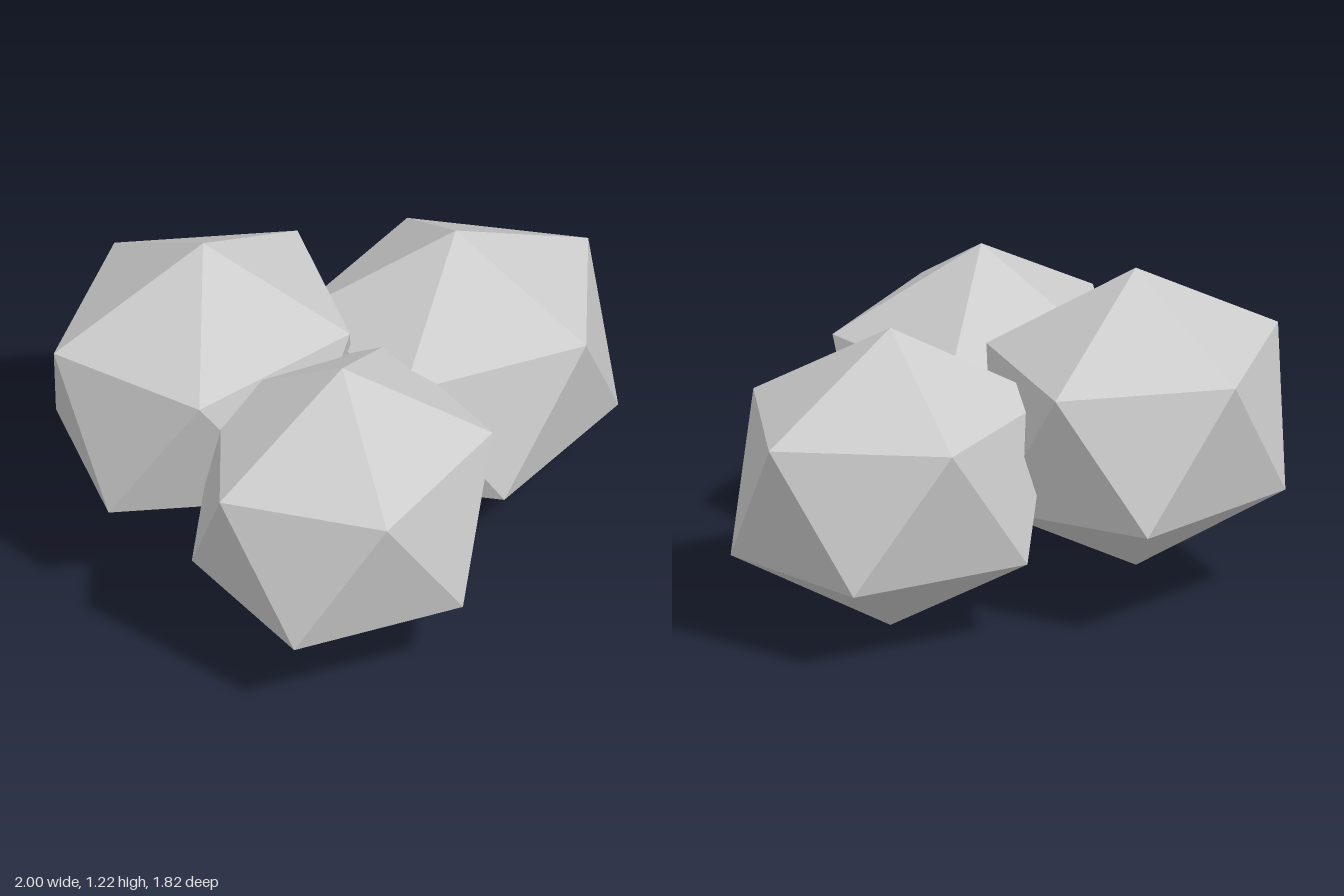
import * as THREE from 'three';

export function createModel() {
  const group = new THREE.Group();
  group.name = 'rockCluster';

  const stone = new THREE.MeshStandardMaterial({ color: 0xcccccc, flatShading: true });
  stone.name = 'stone grey';

  // Low-poly boulder: icosahedron stood on a vertex, then stretched
  const boulder = new THREE.IcosahedronGeometry(1, 0);
  boulder.rotateZ(-Math.atan(2 / (1 + Math.sqrt(5))));
  boulder.scale(0.671, 0.555, 0.582);
  boulder.computeVertexNormals();

  // Name, centre and turn about the vertical
  const rocks = [
    ['leftRock', [0.4, 0.555, 0], 0],
    ['backRock', [-0.43, 0.665, -0.385], 0.3],
    ['frontRock', [-0.43, 0.555, 0.385], 0.6],
  ];
  for (const [name, position, turn] of rocks) {
    const rock = new THREE.Mesh(boulder, stone);
    rock.name = name;
    rock.position.set(...position);
    rock.rotation.y = turn;
    group.add(rock);
  }
  return group;
}
